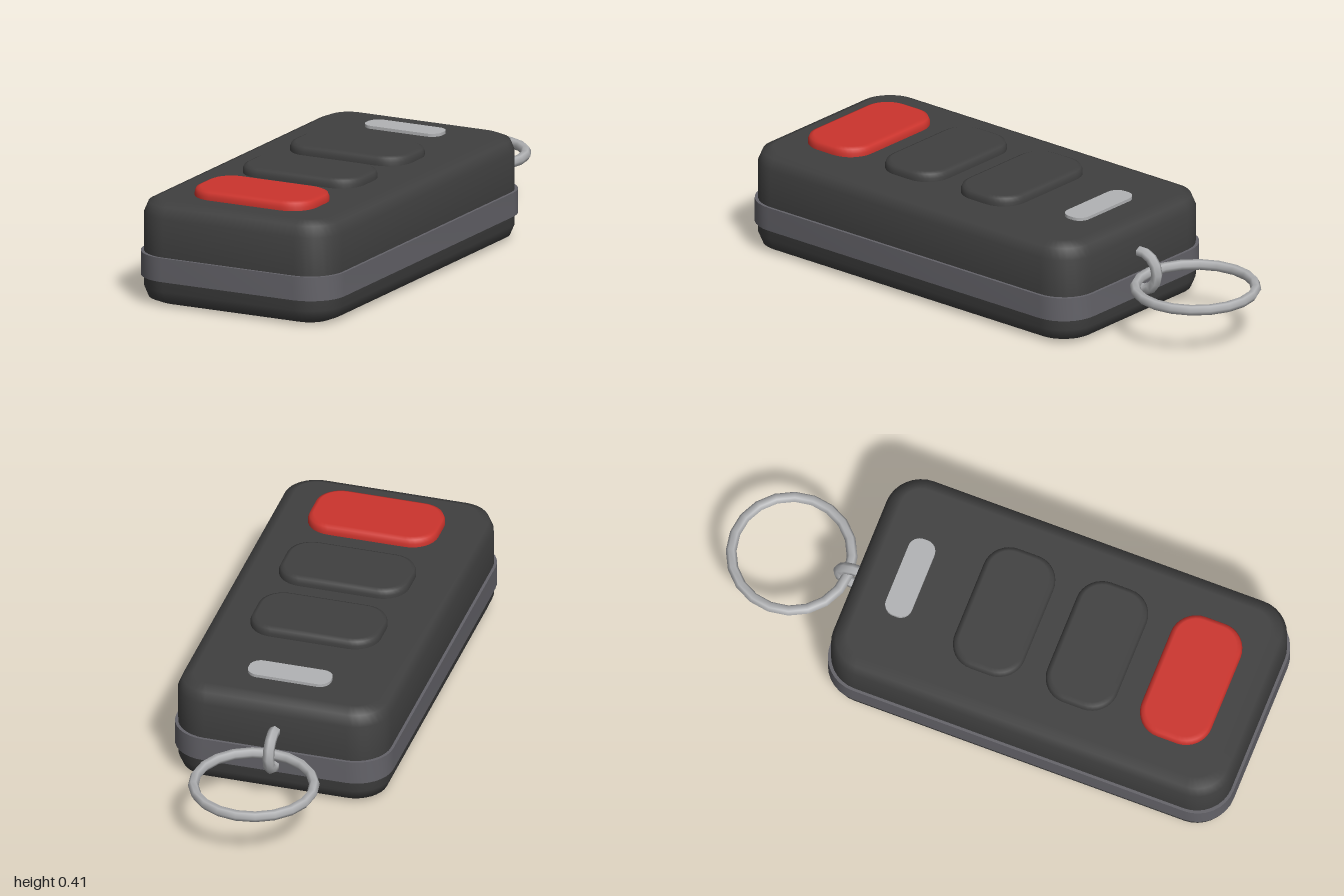
import * as THREE from 'three';
import { toCreasedNormals } from 'three/addons/utils/BufferGeometryUtils.js';

const material = (name, color) => {
  const m = new THREE.MeshStandardMaterial({ color });
  m.name = name;
  return m;
};

// Rounded rectangle centred on the origin
function roundedRect(w, d, r) {
  const x = w / 2, y = d / 2, s = new THREE.Shape();
  s.moveTo(x, r - y);
  s.lineTo(x, y - r);
  s.absarc(x - r, y - r, r, 0, Math.PI / 2);
  s.lineTo(r - x, y);
  s.absarc(r - x, y - r, r, Math.PI / 2, Math.PI);
  s.lineTo(-x, r - y);
  s.absarc(r - x, r - y, r, Math.PI, Math.PI * 1.5);
  s.lineTo(x - r, -y);
  s.absarc(x - r, r - y, r, Math.PI * 1.5, Math.PI * 2);
  return s;
}

// Flat rounded slab from y0 to y1 with softened rims; caps stay flat
function slab(name, mat, w, z0, z1, y0, y1, radius, bevel, bevelSegments = 2) {
  const shape = roundedRect(w - 2 * bevel, z1 - z0 - 2 * bevel, radius - bevel);
  let geo = new THREE.ExtrudeGeometry(shape, {
    depth: y1 - y0 - 2 * bevel, curveSegments: 4,
    bevelEnabled: bevel > 0, bevelThickness: bevel, bevelSize: bevel, bevelSegments,
  });
  geo.rotateX(-Math.PI / 2);
  geo.translate(0, y0 + bevel, (z0 + z1) / 2);
  geo = toCreasedNormals(geo, 0.9);
  if (bevel > 0) {
    const p = geo.attributes.position, n = geo.attributes.normal;
    for (let i = 0; i < p.count; i++) {
      if (Math.abs(p.getY(i) - y1) < 1e-4) n.setXYZ(i, 0, 1, 0);
      else if (Math.abs(p.getY(i) - y0) < 1e-4) n.setXYZ(i, 0, -1, 0);
    }
  }
  const mesh = new THREE.Mesh(geo, mat);
  mesh.name = name;
  return mesh;
}

export function createModel() {
  const group = new THREE.Group();
  group.name = 'keyFob';
  const casing = material('charcoal plastic', 0x404040);
  const trim = material('grey trim', 0x646369);
  const red = material('red button', 0xcc342d);
  const metal = material('silver metal', 0xb2b3b5);

  // Casing with its raised waistband
  group.add(slab('casing', casing, 0.776, -0.51, 0.99, 0.002, 0.377, 0.13, 0.055));
  group.add(slab('waistband', trim, 0.796, -0.52, 1.0, 0.096, 0.183, 0.135, 0));

  // Three buttons along the top, the front one red
  [['upperButton', casing, 0.033], ['middleButton', casing, 0.383], ['alarmButton', red, 0.738]]
    .forEach(([name, mat, z]) =>
      group.add(slab(name, mat, 0.474, z - 0.131, z + 0.131, 0.34, 0.41, 0.095, 0.02)));

  // Indicator light
  group.add(slab('indicator', metal, 0.304, -0.37, -0.272, 0.36, 0.388, 0.042, 0));

  // Upright attachment loop, half sunk into the casing
  const loop = new THREE.Mesh(new THREE.TorusGeometry(0.07, 0.021, 6, 14), metal);
  loop.name = 'attachmentLoop';
  loop.rotation.y = Math.PI / 2;
  loop.position.set(0, 0.19, -0.52);
  group.add(loop);

  // Flat-lying split ring
  const ring = new THREE.Mesh(new THREE.TorusGeometry(0.213, 0.019, 6, 20), metal);
  ring.name = 'keyRing';
  ring.rotation.x = Math.PI / 2;
  ring.position.set(0, 0.19, -0.768);
  group.add(ring);

  return group;
}
